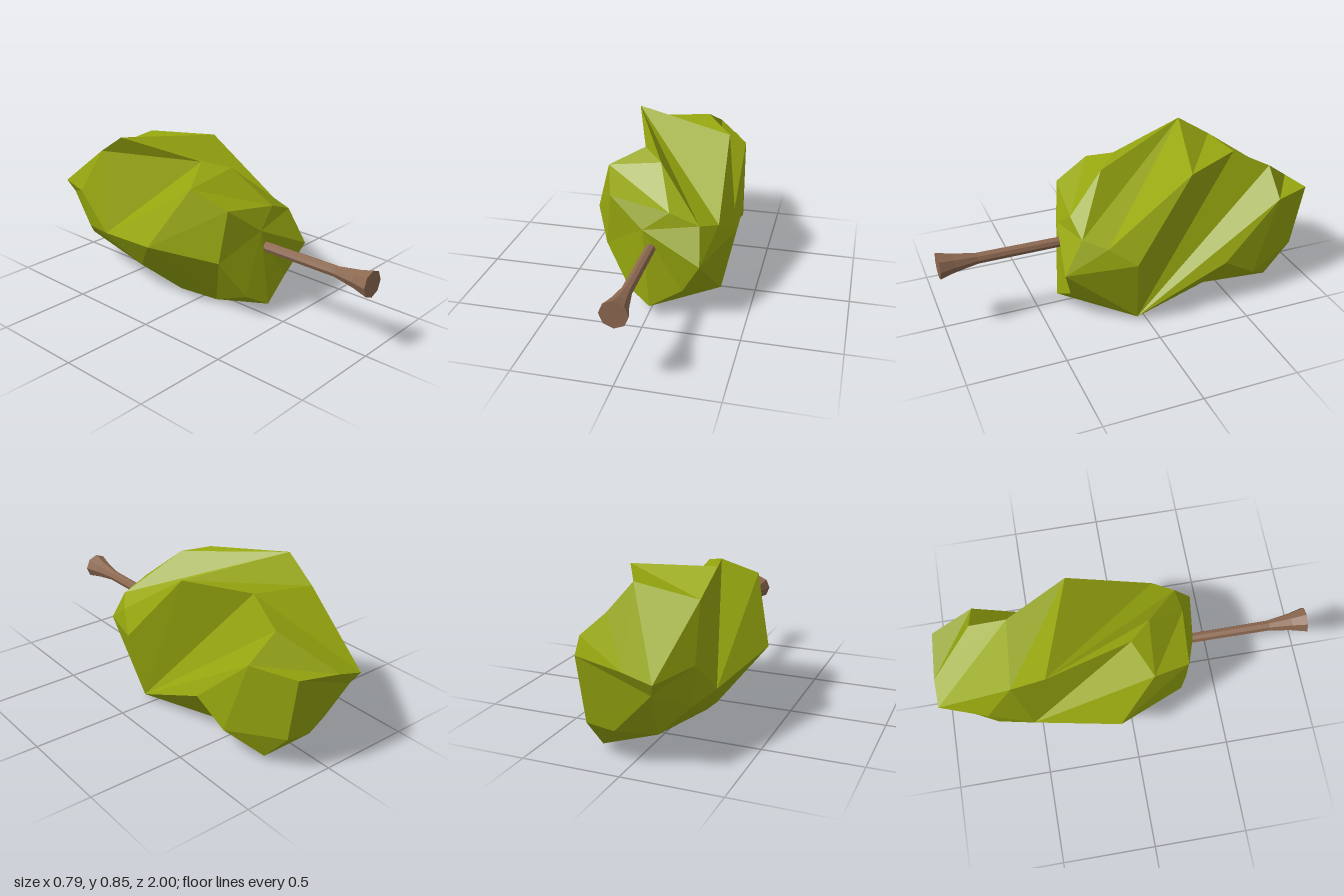
import * as THREE from 'three';

const leafGreen = new THREE.MeshStandardMaterial({ color: 0x96a60f, flatShading: true });
leafGreen.name = 'leafGreen';
const barkBrown = new THREE.MeshStandardMaterial({ color: 0x8c6850, flatShading: true });
barkBrown.name = 'barkBrown';

// Corners where several creases meet; they recur in neighbouring sections
const peak = [-0.245, 0.855, -0.42];
const lowCorner = [0.32, 0.027, 0.05];
const brow = [0.25, 0.51, 0.32];
const leftDent = [-0.285, 0.29, -0.53];
const leftHeel = [-0.12, 0.16, -0.84];
const rearRidge = [-0.03, 0.5, -1];
const rearTip = [-0.146, 0.395, -0.96];
const frontTip = [-0.03, 0.48, 0.365];

// Cross-sections of the crown, each counter-clockwise from the right
const frontRing = [
  [0.272, 0.335, 0.42], brow, brow, [0.1, 0.57, 0.33], [-0.21, 0.62, 0.3],
  [-0.243, 0.34, 0.27], [-0.11, 0.13, 0.34], [0.01, 0.063, 0.39], [0.175, 0.16, 0.365],
];
const shoulderRing = [
  [0.395, 0.39, 0.08], [0.327, 0.475, 0.21], peak, [0.01, 0.75, 0.13], [-0.272, 0.705, 0.11],
  [-0.395, 0.375, -0.08], [-0.07, 0.018, 0.1], [0.1, 0.03, 0.1], lowCorner,
];
const middleRing = [
  lowCorner, [0.293, 0.787, -0.25], peak, [-0.1, 0.785, 0.02], leftDent,
  [-0.21, 0.135, -0.33], [-0.083, 0.003, -0.15], [0.18, 0.045, -0.4], [0.35, 0.26, -0.44],
];
const rearRing = [
  [0.16, 0.685, -0.77], [0.12, 0.785, -0.57], [-0.23, 0.74, -0.6], leftDent, [-0.24, 0.27, -0.72],
  leftHeel, [0.2, 0.03, -0.77], [0.33, 0.15, -0.62], [0.31, 0.555, -0.76],
];
const backRing = [
  rearRidge, rearRidge, [-0.17, 0.46, -1], [-0.265, 0.48, -0.75], rearTip,
  leftHeel, [0.06, 0.18, -0.92], [0.2, 0.2, -0.92], [0.21, 0.54, -0.98],
];

// Fold direction of every quad, one string per band between two sections
const folds = ['111111010', '111001001', '110000000', '111011101'];

// Skins the sections; corners that coincide collapse to creased triangles
function loft(rings, foldRows, front, back) {
  const positions = [];
  const face = new THREE.Triangle();
  const tri = (p, q, r) => {
    face.a.fromArray(p);
    face.b.fromArray(q);
    face.c.fromArray(r);
    if (face.getArea() > 1e-6) positions.push(...p, ...q, ...r);
  };
  const count = rings[0].length;
  const last = rings[rings.length - 1];
  for (let j = 0; j < count; j++) {
    const k = (j + 1) % count;
    foldRows.forEach((row, i) => {
      const a = rings[i][j], b = rings[i][k];
      const c = rings[i + 1][k], d = rings[i + 1][j];
      if (row[j] === '1') {
        tri(a, d, c);
        tri(a, c, b);
      } else {
        tri(a, d, b);
        tri(d, c, b);
      }
    });
    tri(front, rings[0][j], rings[0][k]);
    tri(back, last[k], last[j]);
  }
  const geometry = new THREE.BufferGeometry();
  geometry.setAttribute('position', new THREE.Float32BufferAttribute(positions, 3));
  geometry.computeVertexNormals();
  return geometry;
}

export function createModel() {
  const tree = new THREE.Group();
  tree.name = 'lyingTree';

  // Faceted, furrowed crown
  const sections = [frontRing, shoulderRing, middleRing, rearRing, backRing];
  const crown = new THREE.Mesh(loft(sections, folds, frontTip, rearTip), leafGreen);
  crown.name = 'crown';
  tree.add(crown);

  // Eight-sided trunk with a flared foot, lying along z
  const profile = [[0, 0.2], [0.026, 0.2], [0.029, 0.8], [0.049, 0.92], [0.07, 1], [0, 1]];
  const trunk = new THREE.Mesh(
    new THREE.LatheGeometry(profile.map(([r, h]) => new THREE.Vector2(r, h)), 8),
    barkBrown,
  );
  trunk.name = 'trunk';
  trunk.rotation.x = Math.PI / 2;
  trunk.position.set(0.012, 0.382, 0);
  tree.add(trunk);

  return tree;
}
